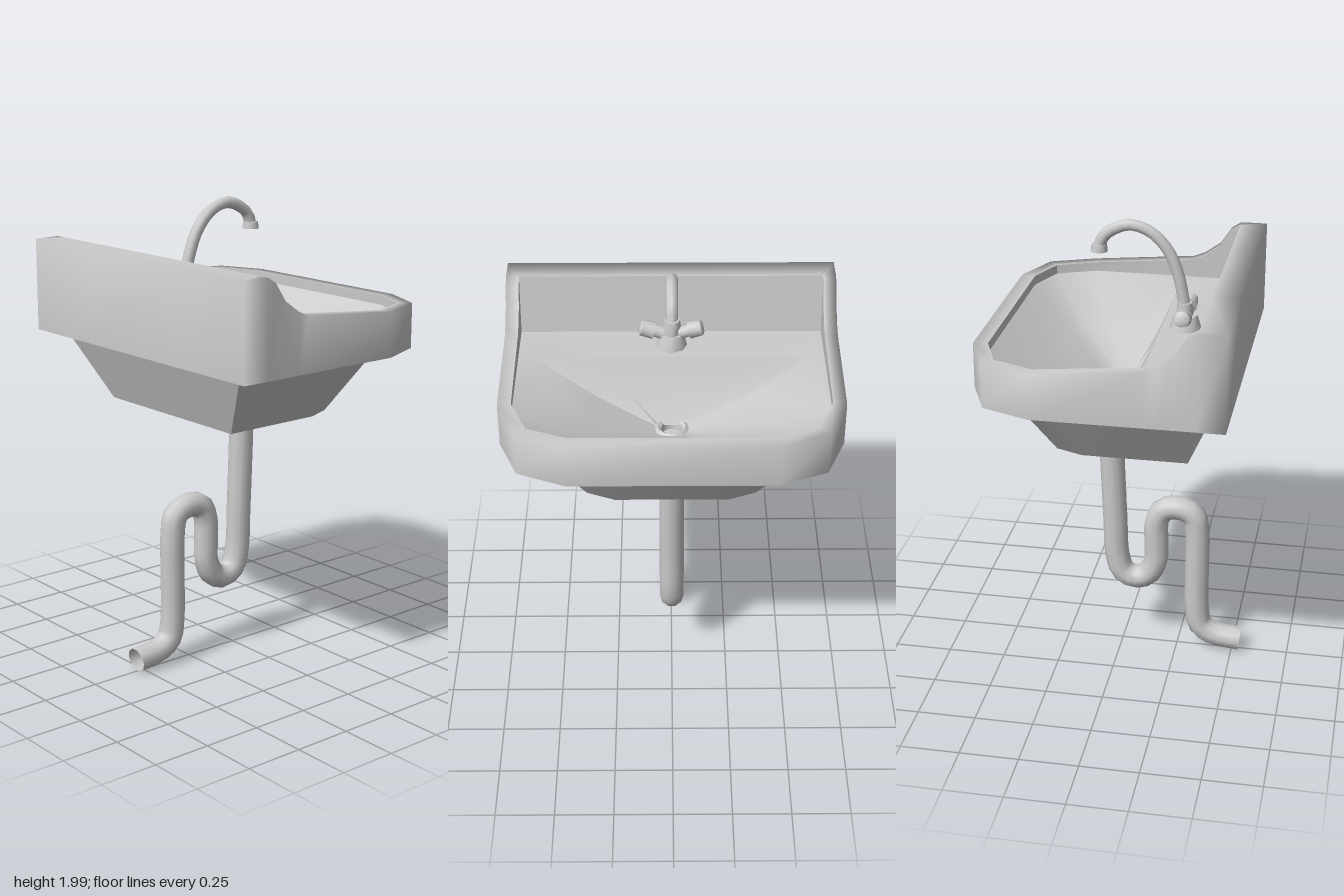
import * as THREE from 'three';
import { toCreasedNormals } from 'three/addons/utils/BufferGeometryUtils.js';

const material = new THREE.MeshStandardMaterial({ color: 0xcccccc, side: THREE.DoubleSide });

// Half outline of the basin, back to front: outer x, z; inner x, z; rim height
const half = [
  [-0.525, 0.3, -0.41, 0.3, 1.79],
  [-0.525, 0.7, -0.41, 0.645, 1.79],
  [-0.41, 0.7, -0.41, 0.645, 1.79],
  [-0.37, 0.7, -0.37, 0.645, 1.765],
  [-0.32, 0.7, -0.32, 0.645, 1.69],
  [-0.25, 0.7, -0.25, 0.645, 1.64],
  [-0.2, 0.7, -0.2, 0.645, 1.62],
  [0.25, 0.7, 0.24, 0.645, 1.58],
  [0.45, 0.62, 0.41, 0.575, 1.58],
  [0.535, 0.42, 0.475, 0.41, 1.58],
];
const mirrored = half.map(([ox, oz, ix, iz, y]) => [ox, -oz, ix, -iz, y]).reverse();
const stations = [...half, ...mirrored];

// Skin closed rings of equal length, listed from the outside bottom up and over
function loft(rings) {
  const n = rings[0].length;
  const index = [];
  const tri = (a, b, c) => {
    const [p, q, r] = [a, b, c].map((i) => rings[Math.floor(i / n)][i % n]);
    const area = q.clone().sub(p).cross(r.clone().sub(p)).length();
    if (area > 1e-7) index.push(a, b, c);
  };
  for (let j = 0; j < rings.length - 1; j++) {
    for (let i = 0; i < n; i++) {
      const a = j * n + i, b = j * n + (i + 1) % n;
      tri(a, b, b + n);
      tri(a, b + n, a + n);
    }
  }
  const geometry = new THREE.BufferGeometry().setFromPoints(rings.flat());
  geometry.setIndex(index);
  geometry.computeVertexNormals();
  return geometry;
}

const ring = (fn) => stations.map((s) => new THREE.Vector3(...fn(...s)));

function add(parent, name, geometry, x = 0, y = 0, z = 0) {
  const mesh = new THREE.Mesh(geometry, material);
  mesh.name = name;
  mesh.position.set(x, y, z);
  parent.add(mesh);
  return mesh;
}

function tube(points, radius, segments, sides) {
  const curve = new THREE.CatmullRomCurve3(points.map(([x, y]) => new THREE.Vector3(x, y, 0)));
  return new THREE.TubeGeometry(curve, segments, radius, sides);
}

function buildBasin() {
  const basin = new THREE.Group();
  basin.name = 'basin';

  // Outline squeezed to a given x range and half depth
  const squeezed = (x0, x1, z1, y) => ring((ox, oz) =>
    [x0 + (ox + 0.525) / 1.06 * (x1 - x0), y, oz / 0.7 * z1]);
  const underside = loft([
    ring(() => [-0.04, 1.11, 0]),
    squeezed(-0.34, 0.26, 0.4, 1.11),
    squeezed(-0.45, 0.43, 0.585, 1.39),
    ring((ox, oz) => [ox, 1.39, oz]),
  ]);
  add(basin, 'underside', toCreasedNormals(underside, 0.75));

  // Outer wall flowing over the rim and the raised back
  add(basin, 'rim', loft([
    ring((ox, oz) => [ox, 1.39, oz]),
    ring((ox, oz, ix, iz, y) => [ox, y, oz]),
    ring((ox, oz, ix, iz, y) => [ix, y, iz]),
  ]));

  // Inner wall, tap ledge and bowl falling to the drain
  const drainX = -0.01;
  const edge = ring((ox, oz, ix, iz) => ix < 0
    ? [-0.165, 1.54, Math.sign(iz) * Math.min(Math.abs(iz), 0.58)]
    : [ix, 1.54, iz]);
  const drainRing = edge.map((p) => {
    const d = new THREE.Vector3(p.x - drainX, 0, p.z).setLength(0.06);
    return new THREE.Vector3(drainX + d.x, 1.28, d.z);
  });
  const middle = edge.map((p, i) => {
    const m = p.clone().lerp(drainRing[i], 0.5);
    m.y -= 0.02;
    return m;
  });
  const inside = loft([
    ring((ox, oz, ix, iz, y) => [ix, y, iz]),
    ring((ox, oz, ix, iz) => [Math.max(ix, -0.37), 1.54, iz]),
    edge,
    middle,
    drainRing,
  ]);
  add(basin, 'bowl', toCreasedNormals(inside, 0.7));

  // Drain: raised flange around a sunken cup
  const profile = [[0, 1.25], [0.042, 1.25], [0.045, 1.285], [0.06, 1.295], [0.073, 1.285], [0.075, 1.27]]
    .map(([r, y]) => new THREE.Vector2(r, y));
  add(basin, 'drain', toCreasedNormals(new THREE.LatheGeometry(profile, 12), 0.6), drainX);
  return basin;
}

function buildTap() {
  const tap = new THREE.Group();
  tap.name = 'tap';
  const x = -0.265;
  const cylinder = (top, bottom, height, sides) =>
    toCreasedNormals(new THREE.CylinderGeometry(top, bottom, height, sides), 0.9);

  add(tap, 'tapBase', cylinder(0.05, 0.068, 0.06, 8), x, 1.57);
  add(tap, 'spoutCollar', cylinder(0.032, 0.036, 0.06, 10), x + 0.005, 1.625);
  add(tap, 'spout', tube([[-0.262, 1.62], [-0.25, 1.69], [-0.232, 1.77], [-0.19, 1.87], [-0.12, 1.945],
    [-0.03, 1.975], [0.045, 1.95], [0.085, 1.915], [0.1, 1.87]], 0.025, 18, 8));
  add(tap, 'spoutTip', cylinder(0.032, 0.036, 0.03, 10), 0.1, 1.87);

  // Pair of valves, tilted slightly upward
  for (const side of [-1, 1]) {
    const valve = new THREE.Group();
    valve.name = side > 0 ? 'leftValve' : 'rightValve';
    valve.position.set(x, 1.59, 0);
    valve.rotation.x = side * 1.3;
    add(valve, 'valveStem', cylinder(0.026, 0.032, 0.09, 8), 0, 0.045);
    add(valve, 'valveHandle', cylinder(0.034, 0.037, 0.055, 10), 0, 0.104);
    add(valve, 'valveCap', cylinder(0.024, 0.034, 0.008, 10), 0, 0.135);
    tap.add(valve);
  }
  return tap;
}

function buildWaste() {
  const waste = new THREE.Group();
  waste.name = 'wastePipe';
  const nut = (r, h) => new THREE.CylinderGeometry(r, r, h, 6).toNonIndexed();
  for (const [name, r, h, y] of [['largeNut', 0.095, 0.045, 1.0875], ['smallNut', 0.065, 0.03, 1.05]]) {
    const geometry = nut(r, h);
    geometry.computeVertexNormals();
    add(waste, name, geometry, 0.05, y);
  }
  // Trap: down, up and over, then out to the wall
  add(waste, 'trap', tube([[0.053, 1.06], [0.045, 0.85], [0.035, 0.62], [0.026, 0.44], [0, 0.36], [-0.05, 0.332],
    [-0.11, 0.35], [-0.148, 0.42], [-0.15, 0.52], [-0.152, 0.62], [-0.182, 0.68], [-0.25, 0.695],
    [-0.315, 0.665], [-0.333, 0.58], [-0.335, 0.4], [-0.338, 0.2], [-0.355, 0.115], [-0.41, 0.075],
    [-0.535, 0.057]], 0.054, 64, 10));
  return waste;
}

export function createModel() {
  const model = new THREE.Group();
  model.name = 'washbasin';
  model.add(buildBasin(), buildTap(), buildWaste());
  return model;
}
